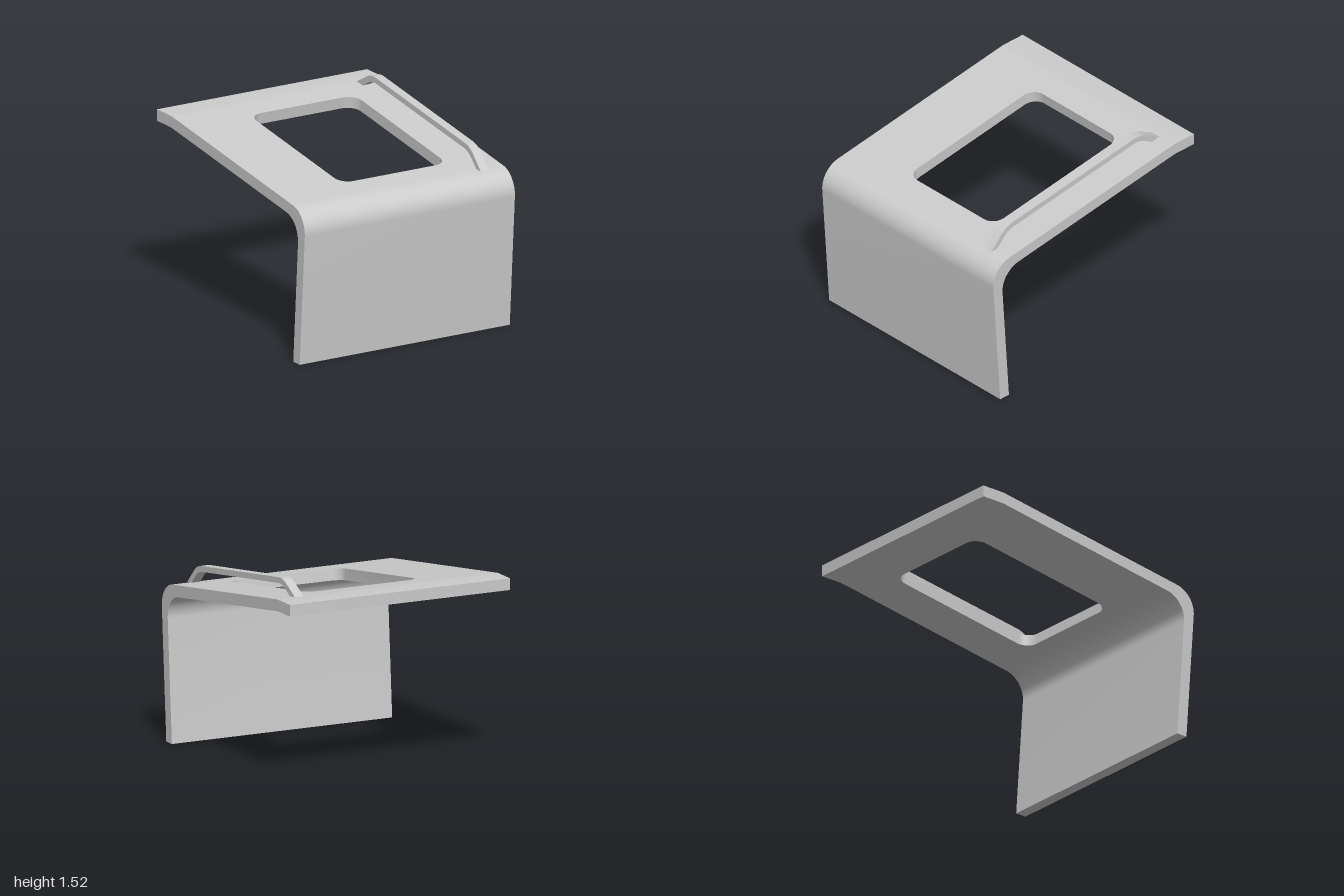
import * as THREE from 'three';
import { toCreasedNormals } from 'three/addons/utils/BufferGeometryUtils.js';

const HALF_W = 0.9;      // half width of the folded sheet
const T = 0.087;         // sheet thickness
const SLOPE = Math.atan(0.144);
const COS = Math.cos(SLOPE), SIN = Math.sin(SLOPE);
const topY = (z) => 1.308 - 0.144 * z;   // upper surface of the sloping deck

// Points on the sloping deck: upper surface, and straight through to the underside
const upper = (z) => [z, topY(z)];
const under = (z) => [z - T * SIN, topY(z) - T * COS];

// Closed shape from [z, y, radius] corners, rounding each corner that has a radius
function sideShape(corners) {
  const pts = [];
  const n = corners.length;
  corners.forEach(([z, y, r], i) => {
    const p = new THREE.Vector2(-z, y);
    if (!r) { pts.push(p); return; }
    const toward = ([cz, cy]) => new THREE.Vector2(-cz, cy).sub(p).normalize();
    const a = toward(corners[(i + n - 1) % n]);
    const b = toward(corners[(i + 1) % n]);
    const half = Math.acos(a.dot(b)) / 2;
    const centre = a.clone().add(b).normalize().multiplyScalar(r / Math.sin(half)).add(p);
    const start = a.multiplyScalar(r / Math.tan(half)).add(p).sub(centre);
    const end = b.multiplyScalar(r / Math.tan(half)).add(p).sub(centre);
    const turn = Math.atan2(start.cross(end), start.dot(end));
    for (let k = 0; k <= 16; k++) {
      pts.push(start.clone().rotateAround(new THREE.Vector2(), turn * k / 16).add(centre));
    }
  });
  return new THREE.Shape(pts);
}

// Side profile swept across x
function sweep(corners, x0, x1) {
  const geo = new THREE.ExtrudeGeometry(sideShape(corners), { depth: x1 - x0, bevelEnabled: false });
  geo.rotateY(Math.PI / 2).translate(x0, 0, 0);
  return toCreasedNormals(geo, 0.3);
}

// Sloping deck between two z positions, with a rounded window cut square to its surface
function deckGeometry(zFront, zBack) {
  const v = (z) => -z / COS;
  const shape = new THREE.Shape();
  shape.moveTo(-HALF_W, v(zFront));
  shape.lineTo(HALF_W, v(zFront));
  shape.lineTo(HALF_W, v(zBack));
  shape.lineTo(-HALF_W, v(zBack));
  shape.closePath();

  const x0 = -0.365, x1 = 0.54, v0 = v(0.652), v1 = v(-0.6), r = 0.1;
  const hole = new THREE.Path();
  hole.absarc(x0 + r, v0 + r, r, Math.PI, Math.PI * 1.5);
  hole.absarc(x1 - r, v0 + r, r, Math.PI * 1.5, Math.PI * 2);
  hole.absarc(x1 - r, v1 - r, r, 0, Math.PI / 2);
  hole.absarc(x0 + r, v1 - r, r, Math.PI / 2, Math.PI);
  hole.closePath();
  shape.holes.push(hole);

  const geo = new THREE.ExtrudeGeometry(shape, { depth: T, bevelEnabled: false, curveSegments: 10 });
  geo.translate(0, 0, -T).rotateX(SLOPE - Math.PI / 2).translate(0, topY(0), 0);
  return toCreasedNormals(geo, 0.3);
}

export function createModel() {
  const group = new THREE.Group();
  const material = new THREE.MeshStandardMaterial({ color: 0xcccccc });
  const add = (name, geo) => {
    const mesh = new THREE.Mesh(geo, material);
    mesh.name = name;
    group.add(mesh);
  };

  const seamFront = 0.7, seamBack = -0.79;

  // Front panel with the rounded bend at its top
  add('frontPanel', sweep([
    [0.931, 0], [1.012, 1.162, 0.185], upper(seamFront),
    under(seamFront), [0.92, 1.0877, 0.185], [0.844, 0],
  ], -HALF_W, HALF_W));

  // Sloping deck with the window
  add('deck', deckGeometry(seamFront, seamBack));

  // Level lip at the back
  add('backLip', sweep([
    upper(seamBack), [-0.806, 1.424], [-1, 1.424],
    [-1, 1.337], [-0.812, 1.337], under(seamBack),
  ], -HALF_W, HALF_W));

  // Bent flat-bar handle along the left side
  add('handle', sweep([
    [0.882, 1.185], [0.733, 1.337, 0.2], [-0.606, 1.527, 0.2], [-0.8, 1.421],
    [-0.725, 1.41], [-0.597, 1.4825, 0.18], [0.712, 1.297, 0.18], [0.819, 1.188],
  ], 0.683, 0.753));

  return group;
}
